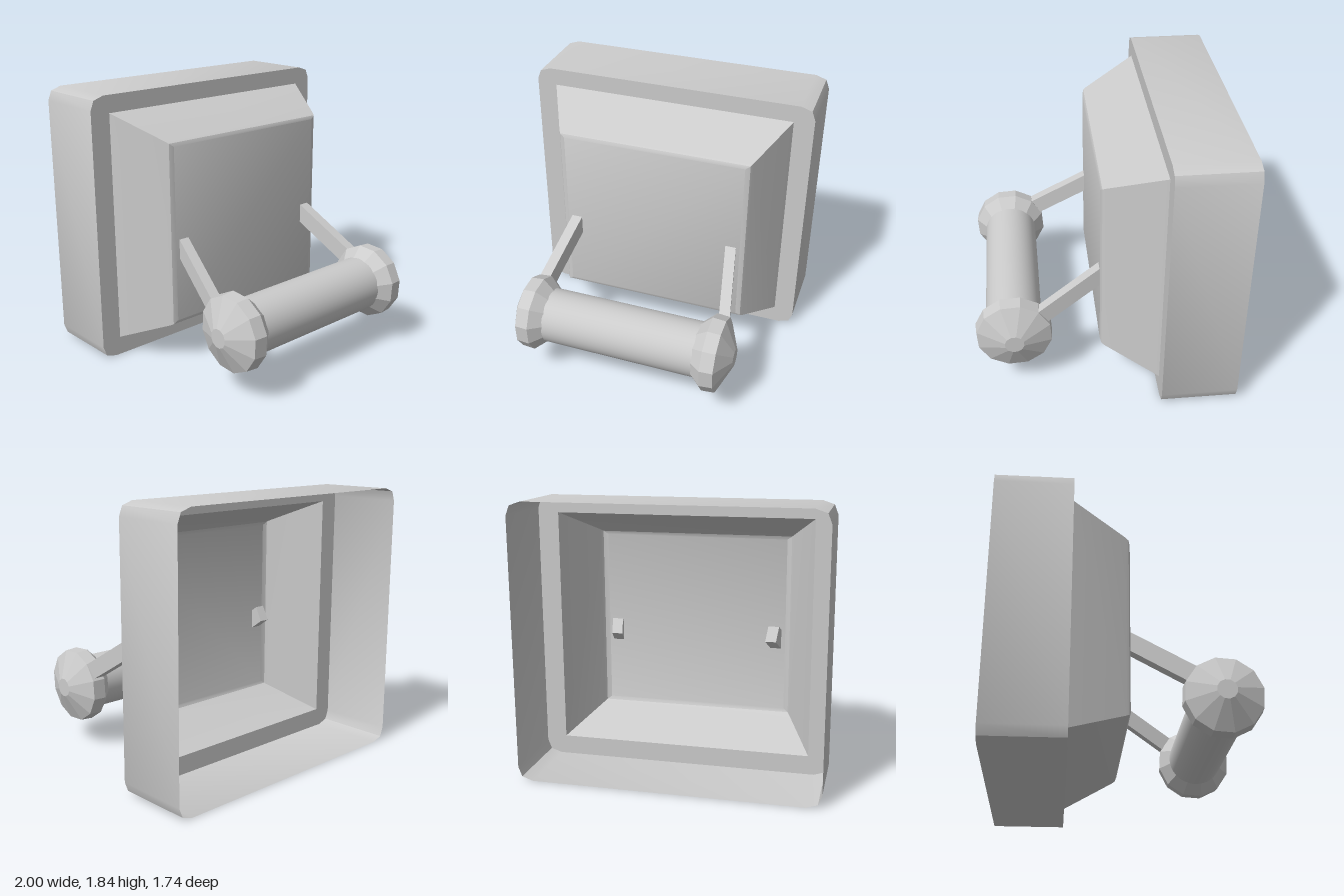
import * as THREE from 'three';
import { toCreasedNormals } from 'three/addons/utils/BufferGeometryUtils.js';

const MID_Y = 0.92; // height of the housing's centre
const ROLL = { y: 0.438, z: 0.61 }; // axis of the roller

// Skin between closed loops of [x, y, z] points, optionally capped at the last loop.
function loft(loops, cap) {
  const pos = [];
  for (let k = 0; k < loops.length - 1; k++) {
    const a = loops[k], b = loops[k + 1], n = a.length;
    for (let i = 0; i < n; i++) {
      const j = (i + 1) % n;
      pos.push(...a[i], ...a[j], ...b[j], ...a[i], ...b[j], ...b[i]);
    }
  }
  if (cap) {
    const l = loops[loops.length - 1];
    for (let i = 1; i < l.length - 1; i++) pos.push(...l[0], ...l[i], ...l[i + 1]);
  }
  const g = new THREE.BufferGeometry();
  g.setAttribute('position', new THREE.Float32BufferAttribute(pos, 3));
  return toCreasedNormals(g, 0.5);
}

// Square with clipped corners, counter-clockwise from the front.
function housingOutline() {
  const quarter = [[1, 0.83], [0.975, 0.895], [0.9, 0.92]];
  const flip = (sx, sy) => quarter.map(([x, y]) => [x * sx, y * sy + MID_Y]);
  return [
    ...flip(1, 1), ...flip(-1, 1).reverse(),
    ...flip(-1, -1), ...flip(1, -1).reverse(),
  ];
}

const rectLoop = (w, h, z) =>
  [[w, h], [-w, h], [-w, -h], [w, -h]].map(([x, y]) => [x, y + 0.925, z]);

export function createModel() {
  const group = new THREE.Group();
  const shell = new THREE.MeshStandardMaterial({ color: 0xcccccc, side: THREE.DoubleSide });
  const smooth = new THREE.MeshStandardMaterial({ color: 0xcccccc });
  const faceted = new THREE.MeshStandardMaterial({ color: 0xcccccc, flatShading: true });
  const add = (name, geometry, material) => {
    const mesh = new THREE.Mesh(geometry, material);
    mesh.name = name;
    group.add(mesh);
    return mesh;
  };

  // Outer wall, open at the back
  const outline = housingOutline();
  const at = z => outline.map(([x, y]) => [x, y, z]);
  add('housingWall', loft([at(-0.87), at(-0.355)], false), shell);

  // Flat rim around the raised panel
  const rim = new THREE.Shape(outline.map(([x, y]) => new THREE.Vector2(x, y)));
  rim.holes.push(new THREE.Path(
    rectLoop(0.86, 0.795, 0).reverse().map(([x, y]) => new THREE.Vector2(x, y))));
  add('housingRim', new THREE.ShapeGeometry(rim), shell).position.z = -0.355;

  // Raised panel with sloping sides and a softened front edge
  add('raisedPanel', loft([
    rectLoop(0.86, 0.795, -0.355),
    rectLoop(0.685, 0.64, 0),
    rectLoop(0.672, 0.628, 0.02),
    rectLoop(0.64, 0.605, 0.03),
  ], true), shell);

  // Roller
  const roller = add('roller', new THREE.CylinderGeometry(0.19, 0.19, 1.1, 48), smooth);
  roller.rotation.z = Math.PI / 2;
  roller.position.set(0, ROLL.y, ROLL.z);

  // Twelve-sided end knobs and the arms that carry them
  const profile = [[0, 0.53], [0.19, 0.53], [0.262, 0.61], [0.255, 0.7], [0.065, 0.785], [0, 0.785]]
    .map(([r, y]) => new THREE.Vector2(r, y));
  for (const side of [1, -1]) {
    const label = side > 0 ? 'left' : 'right';
    const start = THREE.MathUtils.degToRad(side > 0 ? 18.6 : 11.4);
    const knob = add(label + 'Knob', new THREE.LatheGeometry(profile, 12, start), faceted);
    knob.rotation.z = -side * Math.PI / 2;
    knob.position.set(0, ROLL.y, ROLL.z);

    // Bar sheared so it drops and spreads towards the knob
    const arm = new THREE.BoxGeometry(0.075, 0.135, 0.56);
    const p = arm.attributes.position;
    for (let i = 0; i < p.count; i++) {
      // ends cut square to the slope
      const z = p.getZ(i) + 0.23 + p.getY(i) * 0.45;
      p.setXYZ(i,
        p.getX(i) + side * (0.575 + 0.2 * (z - 0.03)),
        p.getY(i) + 0.828 - 0.65 * (z - 0.03),
        z);
    }
    add(label + 'Arm', arm, faceted);
  }
  return group;
}
